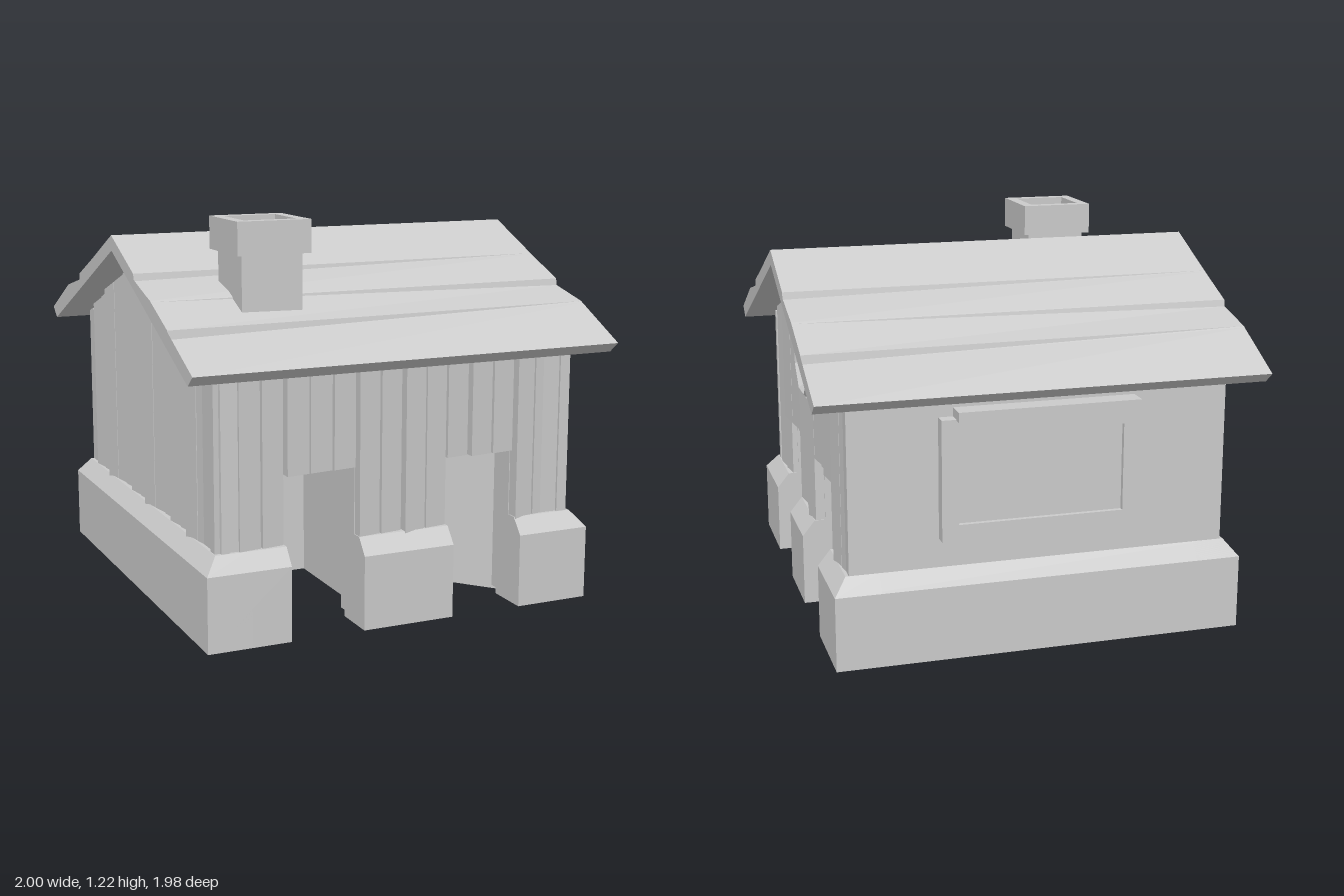
import * as THREE from 'three';

const mat = new THREE.MeshStandardMaterial({ color: 0xcccccc, flatShading: true });
const HX = 0.68, HZ = 0.637;          // half size of the stone base
const INSET = 0.04;                   // walls step in from the base
const DOOR_H = 0.49, BASE_H = 0.28;
const under = (x) => 1.1 - 0.439 * Math.abs(x); // underside of the roof

function add(parent, name, geo, x = 0, y = 0, z = 0) {
  const m = new THREE.Mesh(geo, mat);
  m.name = name;
  m.position.set(x, y, z);
  parent.add(m);
  return m;
}
const box = (parent, name, w, h, d, x, y, z) =>
  add(parent, name, new THREE.BoxGeometry(w, h, d), x, y, z);

// Moves every vertex by a rule and makes the faces flat again
function reshape(geo, rule) {
  const g = geo.index ? geo.toNonIndexed() : geo;
  const p = g.attributes.position, v = new THREE.Vector3();
  for (let i = 0; i < p.count; i++) {
    v.fromBufferAttribute(p, i);
    rule(v);
    p.setXYZ(i, v.x, v.y, v.z);
  }
  g.computeVertexNormals();
  return g;
}

// Base block from u0 to u1, with a sloped top that mitres at the corners
function basePier(parent, u0, u1, half, dist) {
  const geo = reshape(new THREE.BoxGeometry(u1 - u0, 2, 0.14, 1, 2, 1), (v) => {
    const top = v.y > 0.5;
    v.y = top ? BASE_H : v.y > -0.5 ? 0.23 : 0;
    v.x += (u0 + u1) / 2;
    v.z += dist - 0.07;
    if (top && v.z > dist - 0.01) v.z -= INSET;
    if (top && Math.abs(v.x) > half - 0.01) v.x -= Math.sign(v.x) * INSET;
  });
  add(parent, 'basePier', geo);
}

// One plank, its top cut to the roof line and one edge lifted a little
function plank(parent, u0, u1, y0, topAt, z, i) {
  const lift = [0.024, 0.034, 0.028, 0.04, 0.03][i % 5];
  const geo = reshape(new THREE.BoxGeometry(u1 - u0 - 0.005, 2, 0.04), (v) => {
    v.x += (u0 + u1) / 2;
    v.y = v.y > 0 ? topAt(v.x) : y0;
    v.z = v.z > 0 ? z + lift - (v.x > (u0 + u1) / 2 ? 0.01 : 0) : z - 0.01;
  });
  add(parent, 'wallPlank', geo);
}

// One whole side, built facing +z and then turned into place
function side(house, { name, angle, half, dist, doors = [], gable, planks = true, round }) {
  const g = new THREE.Group();
  g.name = name;
  g.rotation.y = angle;
  house.add(g);
  const wallHalf = half - INSET - 0.01;
  const face = dist - INSET - (planks ? 0.035 : 0);
  const topAt = gable ? under : () => under(0.62);

  // Stone base between the doorways
  const stops = [-half, ...doors.flat(), half];
  for (let i = 0; i < stops.length; i += 2) basePier(g, stops[i], stops[i + 1], half, dist);

  // Wall core with door notches and the optional round hole
  const s = new THREE.Shape();
  s.moveTo(-wallHalf, 0.02);
  for (const [a, b] of doors) {
    s.lineTo(a, 0.02);
    s.lineTo(a, DOOR_H);
    s.lineTo(b, DOOR_H);
    s.lineTo(b, 0.02);
  }
  s.lineTo(wallHalf, 0.02);
  s.lineTo(wallHalf, topAt(wallHalf));
  if (gable) s.lineTo(0, topAt(0));
  s.lineTo(-wallHalf, topAt(wallHalf));
  if (round) {
    const hole = new THREE.Path();
    for (let i = 0; i < 8; i++) {
      const t = -(i + 0.5) * Math.PI / 4;
      const x = 0.122 * Math.cos(t), y = round + 0.122 * Math.sin(t);
      if (i) hole.lineTo(x, y); else hole.moveTo(x, y);
    }
    s.holes.push(hole);
  }
  const depth = 0.09;
  add(g, 'wall', new THREE.ExtrudeGeometry(s, { depth, bevelEnabled: false }), 0, 0, face - depth);

  // Vertical planks, shortened over doorways and around the window
  if (planks) {
    const edges = [-(half - INSET), ...doors.flat(), half - INSET];
    let k = 0;
    for (let e = 0; e + 1 < edges.length; e++) {
      const a = edges[e], n = Math.round((edges[e + 1] - a) / 0.079), w = (edges[e + 1] - a) / n;
      for (let i = 0; i < n; i++, k++) {
        const u0 = a + i * w, u1 = u0 + w, y0 = e % 2 ? DOOR_H : BASE_H - 0.01;
        if (round && Math.abs((u0 + u1) / 2) < 0.12) {
          plank(g, u0, u1, y0, () => round - 0.125, face, k);
          plank(g, u0, u1, round + 0.125, topAt, face, k);
        } else plank(g, u0, u1, y0, topAt, face, k);
      }
    }
  }

  // Eight-sided window with crossed bars and a recessed pane
  if (round) {
    const ring = new THREE.TorusGeometry(0.123, 0.018, 4, 8);
    ring.rotateZ(Math.PI / 8);
    add(g, 'roundWindowFrame', ring, 0, round, face + 0.028);
    box(g, 'windowBar', 0.022, 0.24, 0.025, 0, round, face + 0.02);
    box(g, 'windowBar', 0.24, 0.022, 0.025, 0, round, face + 0.02);
    const pane = new THREE.CylinderGeometry(0.13, 0.13, 0.01, 8);
    pane.rotateY(Math.PI / 8);
    pane.rotateX(Math.PI / 2);
    add(g, 'windowPane', pane, 0, round, face - depth);
  }
  return g;
}

// One roof slope: overlapping boards that step at different places at each end
function roofSlope() {
  const steps = [ // distance from ridge, lift at back end, lift at front end
    [0, 0, 0], [0.22, 0, 0], [0.225, 0, -0.02], [0.38, 0.003, 0.008],
    [0.385, -0.016, 0.007], [0.53, 0.013, 0.008], [0.535, 0.012, -0.016], [0.738, 0, 0],
  ];
  const s = new THREE.Shape();
  steps.forEach(([x, back], i) => {
    const y = 1.145 - 0.434 * x + back;
    if (i) s.lineTo(x, y); else s.moveTo(x, y);
  });
  s.lineTo(0.697, 0.792);
  s.lineTo(0, 1.097);
  const L = 1.384;
  return reshape(new THREE.ExtrudeGeometry(s, { depth: L, bevelEnabled: false }), (v) => {
    const step = steps.find(([x]) => Math.abs(x - v.x) < 0.001);
    if (v.z > L / 2 && step) v.y += step[2] - step[1];
    v.z -= L / 2;
  });
}

function chimney(house) {
  const g = new THREE.Group();
  g.name = 'chimney';
  g.position.set(0.361, 0, 0.34);
  house.add(g);
  box(g, 'chimneyStack', 0.194, 0.26, 0.194, 0, 1.01, 0);
  const o = 0.117, n = 0.083;
  const s = new THREE.Shape([[-o, -o], [o, -o], [o, o], [-o, o]].map((p) => new THREE.Vector2(...p)));
  s.holes.push(new THREE.Path([[-n, -n], [-n, n], [n, n], [n, -n]].map((p) => new THREE.Vector2(...p))));
  const cap = new THREE.ExtrudeGeometry(s, { depth: 0.1, bevelEnabled: false });
  cap.rotateX(-Math.PI / 2);
  add(g, 'chimneyCap', cap, 0, 1.117, 0);
}

// Framed rectangular window with a hood
function wideWindow(wall, z) {
  const g = new THREE.Group();
  g.name = 'wideWindow';
  g.position.set(-0.01, 0.555, z);
  wall.add(g);
  const w = 0.61, h = 0.37, t = 0.05;
  for (const k of [-1, 1]) {
    box(g, 'frameRail', w, t, 0.05, 0, k * (h - t) / 2, 0.015);
    box(g, 'framePost', t, h - 2 * t, 0.05, k * (w - t) / 2, 0, 0.015);
  }
  box(g, 'shutterPanel', w - 2 * t, h - 2 * t, 0.03, 0, 0, 0.01);
  box(g, 'windowHood', 0.56, 0.03, 0.08, 0.02, h / 2 + 0.012, 0.025);
}

export function createModel() {
  const model = new THREE.Group();
  model.name = 'cottage';
  const house = new THREE.Group();
  house.name = 'house';
  house.rotation.y = -0.602;
  model.add(house);

  // Four sides
  side(house, { name: 'plainGable', angle: 0, half: HX, dist: HZ, gable: true });
  side(house, { name: 'doorGable', angle: Math.PI, half: HX, dist: HZ, gable: true,
    doors: [[-0.4, -0.126], [0.126, 0.4]], round: 0.795 });
  side(house, { name: 'doorSide', angle: Math.PI / 2, half: HZ, dist: HX,
    doors: [[-0.375, -0.14], [0.16, 0.395]] });
  const plain = side(house, { name: 'windowSide', angle: -Math.PI / 2, half: HZ, dist: HX, planks: false });
  wideWindow(plain, HX - INSET);

  // Inner dividing walls and ceiling
  box(house, 'ceiling', 1.18, 0.03, 1.1, 0, DOOR_H + 0.015, 0);
  box(house, 'dividingWall', 0.11, DOOR_H, 1.12, 0, DOOR_H / 2, 0);
  box(house, 'dividingWall', 1.18, DOOR_H, 0.13, 0, DOOR_H / 2, 0);
  const diagonal = box(house, 'diagonalWall', 1.02, DOOR_H, 0.1, 0.17, DOOR_H / 2, -0.2);
  diagonal.rotation.y = Math.atan2(0.69, 0.8);

  // Roof, the second slope being the first turned half way round
  const slope = roofSlope();
  add(house, 'roofSlope', slope);
  add(house, 'roofSlope', slope).rotation.y = Math.PI;
  chimney(house);
  return model;
}
